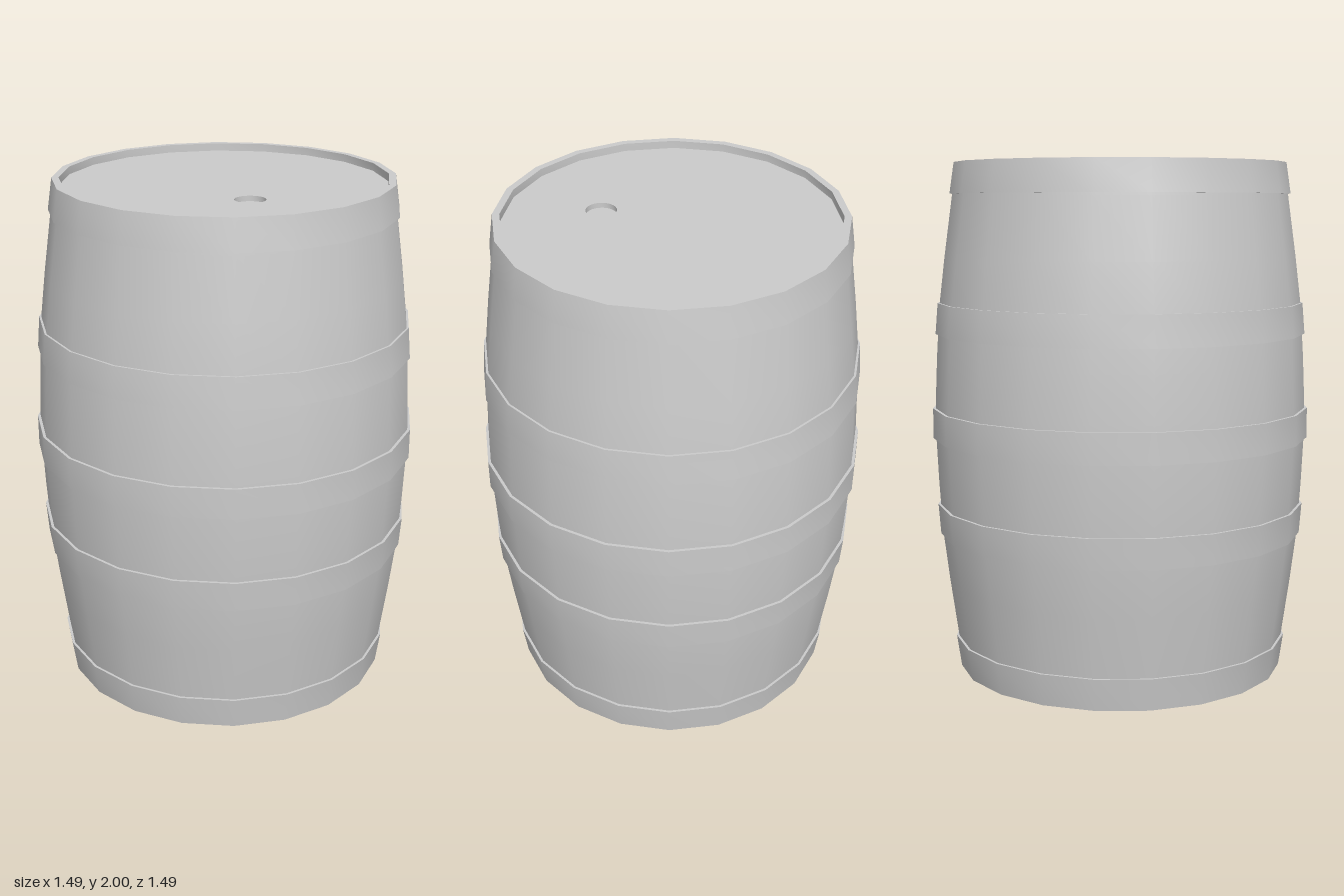
import * as THREE from 'three';
import { toCreasedNormals } from 'three/addons/utils/BufferGeometryUtils.js';

const SIDES = 20;
const HEIGHT = 2;
const RECESS = 0.03;
const INNER = 0.62;

export function createModel() {
  const group = new THREE.Group();
  group.name = 'barrel';
  const material = new THREE.MeshStandardMaterial({ color: 0xcccccc });

  const add = (name, geometry) => {
    const mesh = new THREE.Mesh(geometry, material);
    mesh.name = name;
    group.add(mesh);
    return mesh;
  };

  // Turned part: smooth around the staves, sharp at the rims
  const turn = (name, points) => add(name, toCreasedNormals(
    new THREE.LatheGeometry(points.map(([r, y]) => new THREE.Vector2(r, y)), SIDES), 0.6));

  // Bulging staves with the recessed bottom head; the top stays open for the lid
  const half = [[0.638, 0], [0.656, 0.13], [0.688, 0.36], [0.711, 0.55], [0.724, 0.75], [0.732, 0.93]];
  turn('staves', [
    [0, RECESS], [INNER, RECESS], [INNER, 0],
    ...half,
    ...half.map(([r, y]) => [r, HEIGHT - y]).reverse(),
    [INNER, HEIGHT], [INNER, HEIGHT - RECESS],
  ]);

  // Metal hoops: [name, bottom y, top y, bottom radius, top radius]
  const hoops = [
    ['bottomHoop', 0, 0.125, 0.647, 0.665],
    ['lowerHoop', 0.547, 0.665, 0.72, 0.729],
    ['middleHoop', 0.93, 1.048, 0.743, 0.743],
    ['upperHoop', 1.34, 1.46, 0.728, 0.718],
    ['topHoop', 1.88, 2, 0.665, 0.647],
  ];
  for (const [name, y0, y1, r0, r1] of hoops) {
    const t = 0.012;
    turn(name, [[r0 - t, y0], [r0, y0], [r1, y1], [r1 - t, y1]]);
  }

  // Lid with a round bung hole
  const bung = { x: -0.008, z: 0.275, r: 0.058, depth: 0.02 };
  const lidShape = new THREE.Shape();
  for (let i = 0; i < SIDES; i++) {
    const a = (i / SIDES) * Math.PI * 2;
    lidShape[i ? 'lineTo' : 'moveTo'](INNER * Math.cos(a), INNER * Math.sin(a));
  }
  lidShape.closePath();
  const hole = new THREE.Path();
  hole.absarc(bung.x, -bung.z, bung.r, 0, Math.PI * 2, true);
  lidShape.holes.push(hole);
  const lid = add('lid', new THREE.ShapeGeometry(lidShape, 12));
  lid.rotation.x = -Math.PI / 2;
  lid.position.y = HEIGHT - RECESS;

  // Sunken bung: flat floor and the wall around it, facing inward
  const plug = add('bung', toCreasedNormals(new THREE.LatheGeometry([
    new THREE.Vector2(bung.r, 0),
    new THREE.Vector2(bung.r, -bung.depth),
    new THREE.Vector2(0, -bung.depth),
  ], 24), 0.6));
  plug.position.set(bung.x, HEIGHT - RECESS, bung.z);

  return group;
}
